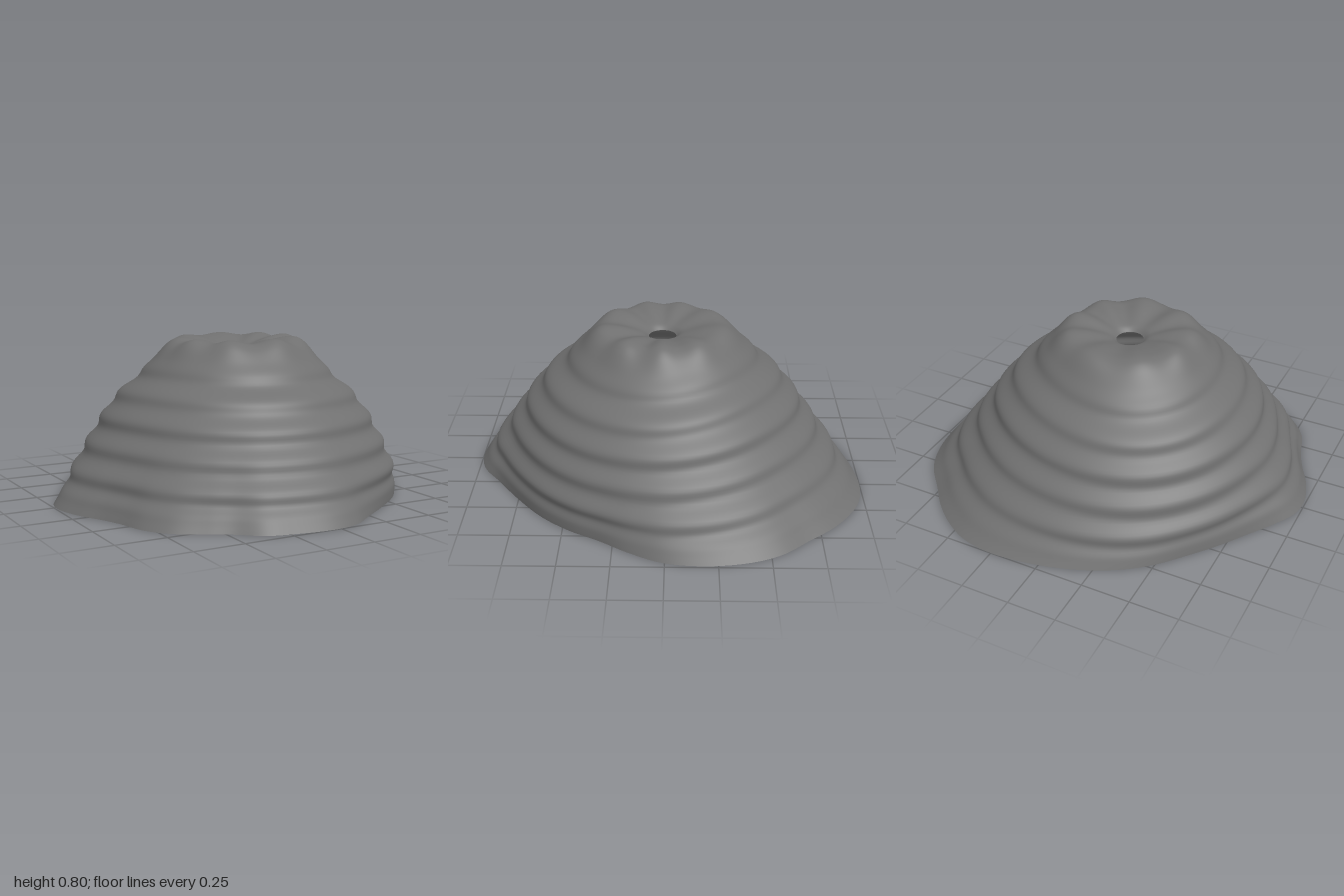
import * as THREE from 'three';

// Outline of the wavy base seen from above: x, z pairs, counterclockwise
const BASE = [
  0.25, -1.0, -0.05, -0.96, -0.29, -0.87, -0.47, -0.75, -0.63, -0.575, -0.73, -0.45,
  -0.82, -0.32, -0.91, -0.19, -0.98, -0.06, -0.99, 0.05, -0.95, 0.2, -0.885, 0.33,
  -0.84, 0.44, -0.795, 0.59, -0.715, 0.7, -0.58, 0.79, -0.475, 0.85, -0.36, 0.94,
  -0.235, 0.975, -0.03, 1.0, 0.11, 0.97, 0.24, 0.88, 0.43, 0.745, 0.59, 0.61,
  0.71, 0.46, 0.79, 0.32, 0.895, 0.16, 0.97, 0, 0.99, -0.2, 0.96, -0.4,
  0.895, -0.55, 0.775, -0.69, 0.67, -0.81, 0.56, -0.9, 0.43, -0.97,
];

// Profile from the base up over the rim and into the hole: radius, y pairs
const PROFILE = [
  0.98, 0, 0.925, 0.08, 0.87, 0.16, 0.79, 0.27, 0.72, 0.37, 0.655, 0.46, 0.59, 0.53,
  0.505, 0.605, 0.42, 0.695, 0.355, 0.76, 0.3, 0.785, 0.23, 0.782, 0.16, 0.768,
  0.1, 0.75, 0.07, 0.728,
];

const CENTRE_Z = 0.025;
const LOBES = 9;
const SPOKES = 240;
const RINGS = 110;
const { lerp, smoothstep } = THREE.MathUtils;

function pairs(list, make) {
  const out = [];
  for (let i = 0; i < list.length; i += 2) out.push(make(list[i], list[i + 1]));
  return out;
}

function shellGeometry() {
  const outline = new THREE.CatmullRomCurve3(
    pairs(BASE, (x, z) => new THREE.Vector3(x, 0, z - CENTRE_Z)), true).getPoints(SPOKES);
  const profile = new THREE.SplineCurve(
    pairs(PROFILE, (r, y) => new THREE.Vector2(r, y))).getPoints(RINGS);
  const positions = [];
  const index = [];

  profile.forEach(({ x: r, y }, i) => {
    // The base outline fades quickly into round rings
    const flare = Math.pow(1 - y / 0.8, 3.5);
    // Soft terraces run round the flank
    const terrace = 0.011 * smoothstep(y, 0.03, 0.12) * (1 - smoothstep(y, 0.58, 0.72));
    // Radial furrows are strongest around the crown
    const furrow = r < 0.3 ? smoothstep(r, 0.06, 0.26) : 1 - smoothstep(r, 0.3, 0.46);
    for (let j = 0; j < SPOKES; j++) {
      const p = outline[j];
      const angle = Math.atan2(p.z, p.x);
      const ripple = Math.cos(LOBES * angle + 0.8 * Math.sin(2 * angle))
        * (0.75 + 0.25 * Math.sin(angle + 0.4));
      const step = Math.cos(2 * Math.PI * (y - 0.16) / 0.125
        + 0.7 * Math.sin(2 * angle) + 0.5 * Math.cos(3 * angle));
      const radius = r * lerp(1, p.length() / 0.98, flare)
        + terrace * step + 0.006 * furrow * ripple;
      const height = y + furrow * (0.011 * ripple + 0.004);
      positions.push(radius * Math.cos(angle), height, CENTRE_Z + radius * Math.sin(angle));
      if (i < RINGS) {
        const k = (j + 1) % SPOKES;
        const a = i * SPOKES + j, b = i * SPOKES + k;
        index.push(a, b, b + SPOKES, a, b + SPOKES, a + SPOKES);
      }
    }
  });

  const geometry = new THREE.BufferGeometry();
  geometry.setAttribute('position', new THREE.Float32BufferAttribute(positions, 3));
  geometry.setIndex(index);
  geometry.computeVertexNormals();
  return geometry;
}

export function createModel() {
  const group = new THREE.Group();
  group.name = 'rippledShell';
  // Thin open shell with a round hole at the top
  const shell = new THREE.Mesh(shellGeometry(),
    new THREE.MeshStandardMaterial({ color: 0x707070, side: THREE.DoubleSide }));
  shell.name = 'shell';
  group.add(shell);
  return group;
}
